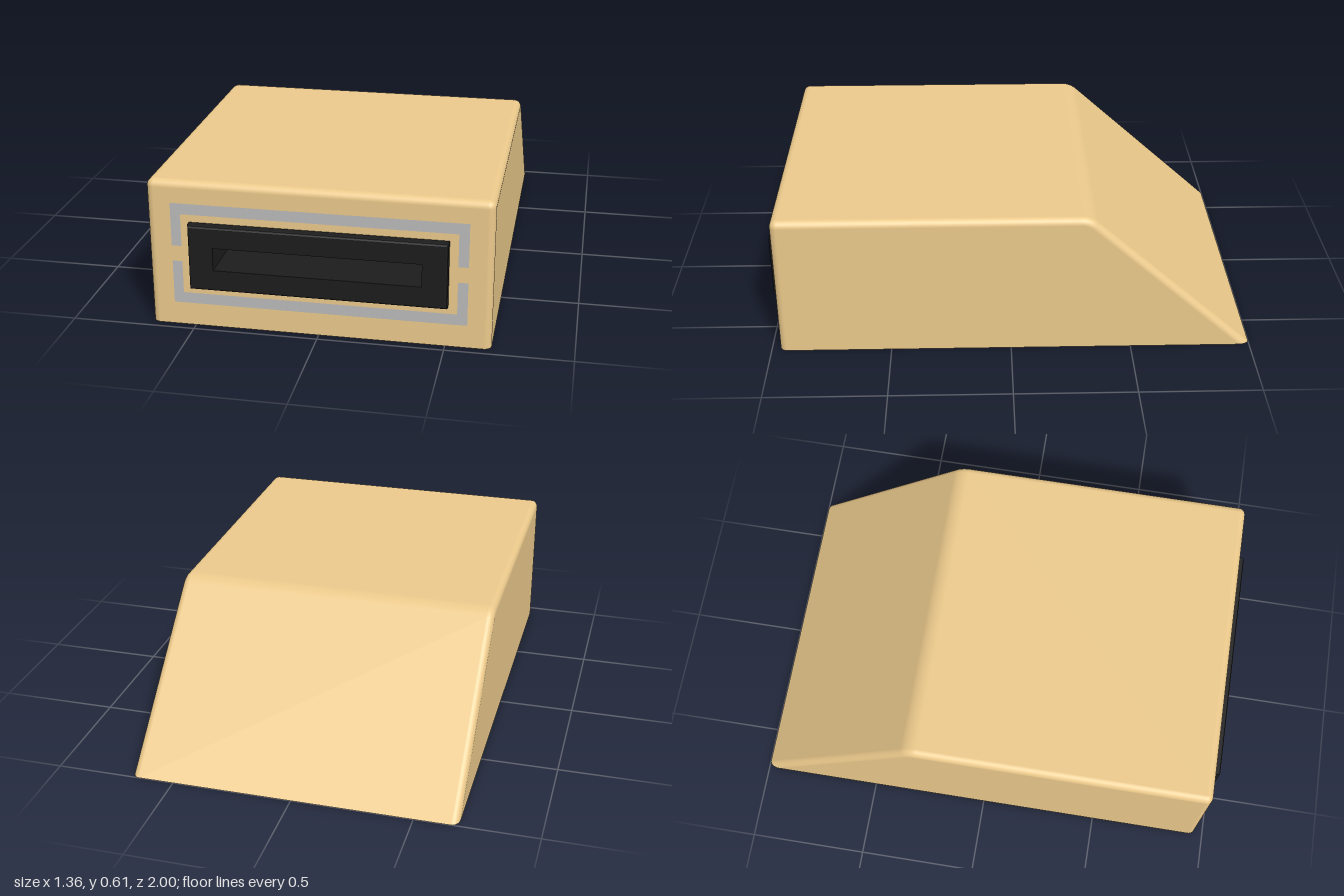
import * as THREE from 'three';

const W = 0.68, H = 0.612, FRONT = 0.965, R = 0.03;
const mat = (color) => new THREE.MeshStandardMaterial({ color, side: THREE.DoubleSide });
const tan = mat(0xebc98b), grey = mat(0xbbbbbb), black = mat(0x1c1c1c);

function mesh(name, geometry, material) {
  const m = new THREE.Mesh(geometry, material);
  m.name = name;
  return m;
}

function geometryFrom(position, index, normal) {
  const g = new THREE.BufferGeometry();
  g.setAttribute('position', new THREE.Float32BufferAttribute(position, 3));
  g.setIndex(index);
  if (normal) g.setAttribute('normal', new THREE.Float32BufferAttribute(normal, 3));
  return g;
}

const polygon = (pts) => pts.map(([x, y]) => new THREE.Vector2(x, y));

// Side outline from the front foot over the top and down the slope.
// Each point carries its normal (nz, ny) and an inset direction (dz, dy).
function outline() {
  const pts = [];
  const add = (z, y, nz, ny, dz = nz, dy = ny) => pts.push({ z, y, nz, ny, dz, dy });
  const arc = (cz, cy, r, from, to) => {
    for (let i = 0; i <= 8; i++) {
      const a = from + (to - from) * i / 8;
      add(cz + r * Math.cos(a), cy + r * Math.sin(a), Math.cos(a), Math.sin(a));
    }
  };
  const slope = Math.atan2(0.9, 1), crestR = 0.1;
  const crestZ = -1 + H / 0.9 + crestR * Math.tan(slope / 2);
  add(FRONT, 0, 1, 0);
  arc(FRONT - R, H - R, R, 0, Math.PI / 2);
  arc(crestZ, H - crestR, crestR, Math.PI / 2, Math.PI / 2 + slope);
  const nz = -Math.sin(slope), ny = Math.cos(slope);
  add(-1, 0, nz, ny, 1 / nz, 0);
  return pts;
}

// Outline swept across x with rounded side edges; the flat front is left out.
function wrapGeometry(path) {
  const pos = [], nor = [], idx = [], n = 8, cols = 2 * (n + 1);
  path.forEach((p) => {
    for (let j = 0; j < cols; j++) {
      const s = j <= n ? -1 : 1;
      const a = (j <= n ? n - j : j - n - 1) / n * Math.PI / 2;
      const inset = R * (1 - Math.cos(a));
      pos.push(s * (W - R + R * Math.sin(a)), p.y - p.dy * inset, p.z - p.dz * inset);
      nor.push(s * Math.sin(a), p.ny * Math.cos(a), p.nz * Math.cos(a));
    }
  });
  for (let i = 0; i < path.length - 1; i++) {
    for (let j = 0; j < cols - 1; j++) {
      if (i === 0 && j === n) continue;
      const a = i * cols + j, b = a + cols;
      idx.push(a, a + 1, b + 1, a, b + 1, b);
    }
  }
  return geometryFrom(pos, idx, nor);
}

// Skin through rectangles given as [half width, bottom, top, z].
function rectLoft(rects) {
  const pos = [], idx = [];
  const corners = ([w, y0, y1, z]) => [[-w, y0, z], [w, y0, z], [w, y1, z], [-w, y1, z]];
  for (let k = 0; k < rects.length - 1; k++) {
    const p = corners(rects[k]), q = corners(rects[k + 1]);
    for (let i = 0; i < 4; i++) {
      const j = (i + 1) % 4, v = pos.length / 3;
      pos.push(...p[i], ...p[j], ...q[j], ...q[i]);
      idx.push(v, v + 1, v + 2, v, v + 2, v + 3);
    }
  }
  const g = geometryFrom(pos, idx);
  g.computeVertexNormals();
  return g;
}

// C-shaped bracket: arms end at yArm, the bar runs from yOuter to yInner.
const bracket = (yArm, yInner, yOuter) => polygon([
  [-0.585, yArm], [-0.585, yOuter], [0.585, yOuter], [0.585, yArm],
  [0.545, yArm], [0.545, yInner], [-0.545, yInner], [-0.545, yArm],
]);

export function createModel() {
  const model = new THREE.Group();
  model.name = 'wedgeHousing';
  const path = outline();

  // Open-bottomed housing shell
  const housing = new THREE.Group();
  housing.name = 'housing';
  housing.add(mesh('topAndSlope', wrapGeometry(path), tan));
  for (const s of [-1, 1]) {
    const pts = path.map((p) => [-s * (p.z - p.dz * R), p.y - p.dy * R]);
    const side = new THREE.ShapeGeometry(new THREE.Shape(polygon(pts)));
    side.rotateY(s * Math.PI / 2).translate(s * W, 0, 0);
    housing.add(mesh(s > 0 ? 'leftWall' : 'rightWall', side, tan));
  }

  // Front wall, cut out for the bezel and the two inlays
  const brackets = { upperInlay: bracket(0.34, 0.475, 0.52), lowerInlay: bracket(0.275, 0.14, 0.095) };
  const w = W - R, h = H - R;
  const wall = new THREE.Shape(polygon([[-w, 0], [w, 0], [w, h], [-w, h]]));
  wall.holes.push(new THREE.Path(polygon([[-0.51, 0.172], [0.51, 0.172], [0.51, 0.445], [-0.51, 0.445]])));
  for (const pts of Object.values(brackets)) wall.holes.push(new THREE.Path(pts));
  housing.add(mesh('frontWall', new THREE.ShapeGeometry(wall).translate(0, 0, FRONT), tan));
  model.add(housing);

  // Inlays flush with the front wall
  for (const [name, pts] of Object.entries(brackets)) {
    model.add(mesh(name, new THREE.ShapeGeometry(new THREE.Shape(pts)).translate(0, 0, FRONT), grey));
  }

  // Hollow bezel with softened rim
  model.add(mesh('bezel', rectLoft([
    [0.51, 0.172, 0.445, FRONT], [0.51, 0.172, 0.445, 0.988], [0.507, 0.175, 0.442, 0.997],
    [0.5, 0.182, 0.435, 1], [0.41, 0.261, 0.355, 1],
  ]), black));

  // Deep slot running back into the housing, closed at the rear
  model.add(mesh('slot', rectLoft([
    [0.41, 0.261, 0.355, 1], [0.41, 0.261, 0.355, -0.34], [0, 0.308, 0.308, -0.34],
  ]), black));
  return model;
}
